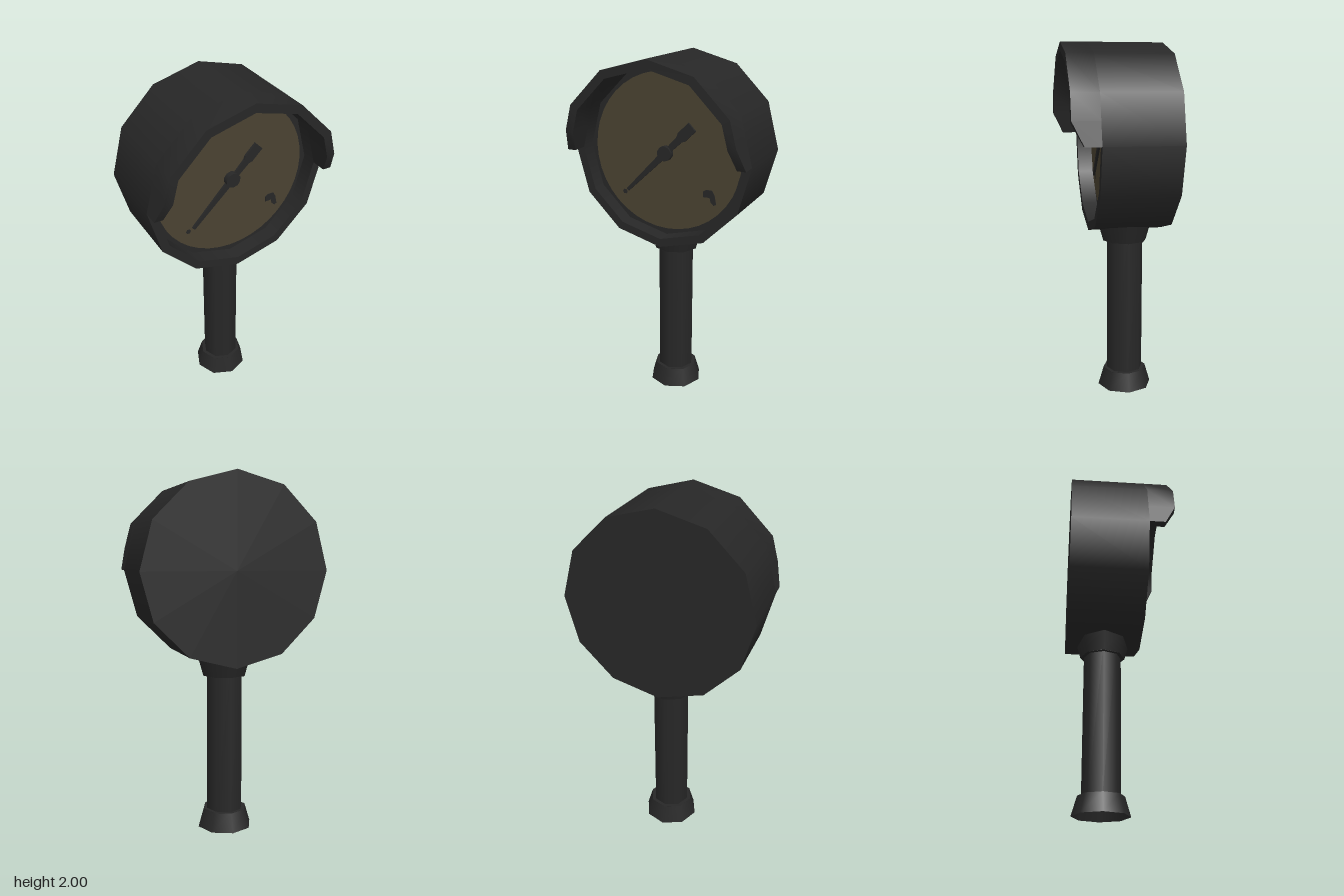
import * as THREE from 'three';
import { toCreasedNormals } from 'three/addons/utils/BufferGeometryUtils.js';

const CY = 1.476;              // height of the gauge centre
const R = 0.524, RI = 0.476;   // outer and inner radius of the case
const BACK = -0.285, RIM = 0.138, DIAL = 0.05, STEM_Z = -0.075;

export function createModel() {
  const dark = new THREE.MeshStandardMaterial({ color: 0x272727, side: THREE.DoubleSide });
  const dialColor = new THREE.MeshStandardMaterial({ color: 0x4a4231 });
  dark.name = 'darkMetal';
  dialColor.name = 'agedDial';

  const model = new THREE.Group();
  model.name = 'pressureGauge';
  const head = new THREE.Group();
  head.name = 'gaugeHead';
  head.position.y = CY;
  model.add(head);

  const add = (parent, name, geometry, material, x = 0, y = 0, z = 0) => {
    const mesh = new THREE.Mesh(geometry, material);
    mesh.name = name;
    mesh.position.set(x, y, z);
    parent.add(mesh);
    return mesh;
  };

  // Open twelve-sided wall running along z
  const wall = (r, z0, z1) =>
    new THREE.CylinderGeometry(r, r, z1 - z0, 12, 1, true).rotateX(Math.PI / 2).translate(0, 0, (z0 + z1) / 2);

  // Case: outer wall, back plate, front rim, recess wall
  add(head, 'caseWall', wall(R, BACK, RIM), dark);
  add(head, 'backPlate', new THREE.CircleGeometry(R, 12).rotateY(Math.PI), dark, 0, 0, BACK);
  add(head, 'frontRim', new THREE.RingGeometry(RI, R, 12), dark, 0, 0, RIM);
  add(head, 'recessWall', wall(RI, DIAL, RIM), dark);

  // Dial: dark backing plate with a round face on it
  add(head, 'dialBorder', new THREE.CircleGeometry(RI, 12), dark, 0, 0, DIAL);
  add(head, 'dialFace', new THREE.CircleGeometry(0.44, 40), dialColor, 0, 0, DIAL + 0.004);

  // Hood over the upper half, with chamfered lower corners
  add(head, 'hood', hoodGeometry(), dark);

  // Needle: long tapered pointer and a wider tail
  const plate = (points, depth) => new THREE.ExtrudeGeometry(
    new THREE.Shape(points.map(([x, y]) => new THREE.Vector2(x, y))), { depth, bevelEnabled: false });
  const needle = new THREE.Group();
  needle.name = 'needle';
  needle.rotation.z = Math.PI / 4;
  needle.position.z = DIAL + 0.012;
  head.add(needle);
  add(needle, 'pointer', plate([[-0.335, -0.009], [0, -0.02], [0, 0.02], [-0.335, 0.009]], 0.012), dark);
  add(needle, 'tail', plate([[0, -0.015], [0.12, -0.02], [0.14, -0.03], [0.225, -0.03],
    [0.225, 0.03], [0.14, 0.03], [0.12, 0.02], [0, 0.015]], 0.012), dark);
  add(head, 'hub', new THREE.CylinderGeometry(0.042, 0.042, 0.035, 10).rotateX(Math.PI / 2), dark, 0, 0, DIAL + 0.018);

  // Small marks on the dial
  add(head, 'dialDot', new THREE.CircleGeometry(0.015, 6), dark, -0.262, -0.255, DIAL + 0.007);
  add(head, 'dialMark', plate([[0.222, -0.19], [0.24, -0.178], [0.275, -0.178], [0.29, -0.205], [0.3, -0.255],
    [0.285, -0.262], [0.268, -0.245], [0.262, -0.22], [0.225, -0.222]], 0.003), dark, 0, 0, DIAL + 0.004);

  // Stem with a flared collar at each end; the lower one is hollow
  const tube = (name, rTop, rBottom, y0, y1) => add(model, name,
    new THREE.CylinderGeometry(rTop, rBottom, y1 - y0, 8, 1, true), dark, 0, (y0 + y1) / 2, STEM_Z);
  tube('stem', 0.105, 0.105, 0.1, 0.95);
  tube('lowerCollar', 0.126, 0.157, 0, 0.105);
  tube('upperCollar', 0.158, 0.126, 0.888, 1.0);
  for (const [name, y] of [['lowerCollarTop', 0.105], ['upperCollarBottom', 0.888]]) {
    add(model, name, new THREE.CylinderGeometry(0.126, 0.126, 0.002, 8), dark, 0, y, STEM_Z);
  }
  return model;
}

// Hood: a four-cornered section swept along half of the twelve-sided rim
function hoodGeometry() {
  const c = Math.cos(Math.PI / 6);
  const chamfer = 0.124 / (R / 2);                       // share of the first edge
  const tip = [1 + (c - 1) * chamfer, 0.5 * chamfer];
  const path = [[1, 0, 0.225], [...tip, 0.285]];
  for (let i = 1; i < 6; i++) path.push([Math.cos(i * Math.PI / 6), Math.sin(i * Math.PI / 6), 0.285]);
  path.push([-tip[0], tip[1], 0.285], [-1, 0, 0.225]);

  const sections = path.map(([x, y, z]) => [
    [x * R, y * R, RIM], [x * R, y * R, z], [x * RI, y * RI, z], [x * RI, y * RI, RIM]]);
  const pos = [];
  const quad = (a, b, d, e) => pos.push(...a, ...b, ...d, ...a, ...d, ...e);
  for (let i = 0; i < sections.length - 1; i++) {
    const s = sections[i], t = sections[i + 1];
    for (let k = 0; k < 3; k++) quad(s[k], t[k], t[k + 1], s[k + 1]);
  }
  quad(...sections[0]);                                  // lower ends
  quad(...sections[sections.length - 1].slice().reverse());

  // Put every face outward: the sweep above runs clockwise seen from outside
  for (let i = 0; i < pos.length; i += 9) {
    for (let k = 0; k < 3; k++) [pos[i + 3 + k], pos[i + 6 + k]] = [pos[i + 6 + k], pos[i + 3 + k]];
  }
  const g = new THREE.BufferGeometry();
  g.setAttribute('position', new THREE.Float32BufferAttribute(pos, 3));
  return toCreasedNormals(g, 0.6);
}
